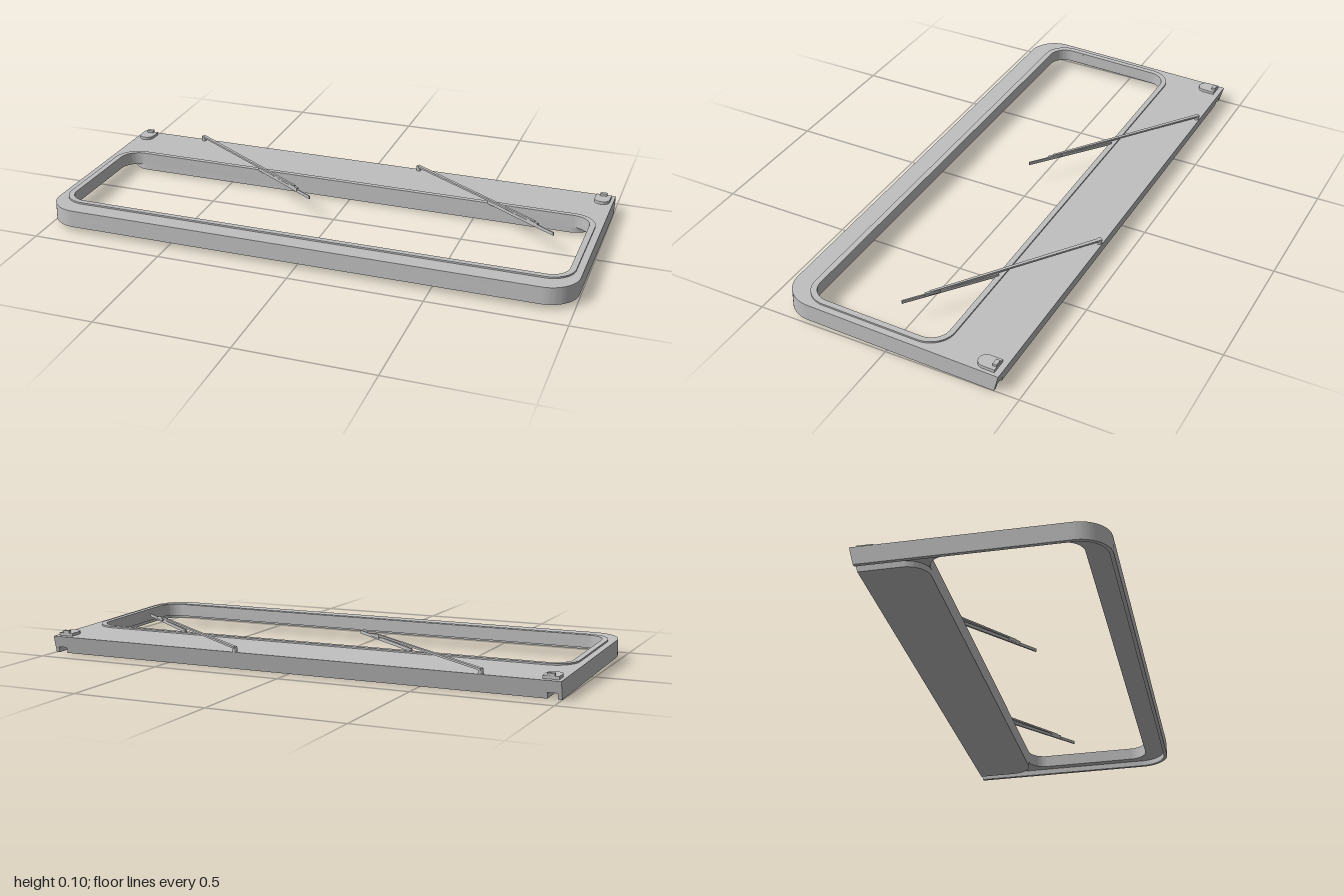
import * as THREE from 'three';
import { toCreasedNormals } from 'three/addons/utils/BufferGeometryUtils.js';

const H = 0.065;       // full depth of the frame
const TILT = 0.024;    // slight forward rise
const grey = new THREE.MeshStandardMaterial({ color: 0xc0c0c0 });
grey.name = 'grey';

// Rectangle in x/z with separate corner radii at the back and front
function outline(Target, x, zBack, zFront, rBack, rFront) {
  const s = new Target();
  const corner = (cx, cz, r, a) => (r > 0
    ? s.absarc(cx, cz, r, a, a + Math.PI / 2, false)
    : s.lineTo(cx, cz));
  s.moveTo(-x + rBack, zBack);
  corner(x - rBack, zBack + rBack, rBack, -Math.PI / 2);
  corner(x - rFront, zFront - rFront, rFront, 0);
  corner(-x + rFront, zFront - rFront, rFront, Math.PI / 2);
  corner(-x + rBack, zBack + rBack, rBack, Math.PI);
  s.closePath();
  return s;
}

// Extrudes an x/z shape from y0 up to y1; the rear face leans in at the bottom
function slab(name, shape, y0, y1) {
  const g = new THREE.ExtrudeGeometry(shape, { depth: y1 - y0, bevelEnabled: false, curveSegments: 12 });
  g.rotateX(Math.PI / 2).translate(0, y1, 0);
  const p = g.attributes.position;
  for (let i = 0; i < p.count; i++) {
    if (p.getZ(i) < -0.415) p.setZ(i, p.getZ(i) + 0.015 * (1 - p.getY(i) / H));
  }
  g.computeVertexNormals();
  const m = new THREE.Mesh(toCreasedNormals(g, 0.6), grey);
  m.name = name;
  return m;
}

function box(name, w, h, d, x, y, z) {
  const m = new THREE.Mesh(new THREE.BoxGeometry(w, h, d), grey);
  m.name = name;
  m.position.set(x, y, z);
  return m;
}

// Thin bar between two points, tapered towards the far end
function bar(name, a, b, w, h, taper) {
  const from = new THREE.Vector3(...a), to = new THREE.Vector3(...b);
  const g = new THREE.BoxGeometry(w, h, from.distanceTo(to));
  const p = g.attributes.position;
  for (let i = 0; i < p.count; i++) if (p.getZ(i) > 0) p.setX(i, p.getX(i) * taper);
  const m = new THREE.Mesh(g, grey);
  m.name = name;
  m.position.copy(from).add(to).multiplyScalar(0.5);
  m.lookAt(to);
  return m;
}

function wiper(x) {
  const w = new THREE.Group();
  w.name = 'wiper';
  const pivot = new THREE.Mesh(new THREE.CylinderGeometry(0.009, 0.009, 0.022, 16), grey);
  pivot.name = 'wiperPivot';
  pivot.position.set(-0.72, 0.073, -0.412);
  w.add(
    pivot,
    bar('wiperArm', [-0.725, 0.081, -0.417], [-0.17, 0.089, -0.035], 0.014, 0.007, 0.6),
    bar('wiperBlade', [-0.38, 0.073, -0.185], [-0.088, 0.08, 0.027], 0.007, 0.012, 0.7),
    bar('bladeClip', [-0.2, 0.083, -0.057], [-0.155, 0.084, -0.023], 0.011, 0.011, 0.8)
  );
  w.position.x = x;
  return w;
}

export function createModel() {
  const model = new THREE.Group();
  model.name = 'windowFrame';
  const frame = new THREE.Group();
  frame.name = 'tiltedFrame';
  frame.rotation.x = -TILT;
  frame.position.y = 0.01;
  model.add(frame);

  // Top plate with the large window opening
  const plate = outline(THREE.Shape, 1, -0.423, 0.422, 0, 0.115);
  plate.holes.push(outline(THREE.Path, 0.953, -0.18, 0.33, 0.07, 0.07));
  frame.add(slab('topPlate', plate, 0.022, H));

  // Thin skirt around the sides and front, open at the back
  const skirt = new THREE.Shape();
  skirt.moveTo(-1, -0.423);
  skirt.lineTo(-0.986, -0.423);
  skirt.absarc(-0.885, 0.307, 0.101, Math.PI, Math.PI / 2, true);
  skirt.absarc(0.885, 0.307, 0.101, Math.PI / 2, 0, true);
  skirt.lineTo(0.986, -0.423);
  skirt.lineTo(1, -0.423);
  skirt.absarc(0.885, 0.307, 0.115, 0, Math.PI / 2, false);
  skirt.absarc(-0.885, 0.307, 0.115, Math.PI / 2, Math.PI, false);
  skirt.closePath();
  frame.add(slab('skirt', skirt, 0, 0.022));

  // Deeper rear body with rounded inner corners
  frame.add(slab('rearBody', outline(THREE.Shape, 0.95, -0.423, -0.18, 0, 0.08), 0, 0.022));

  // Raised rim around the opening
  const rim = outline(THREE.Shape, 0.975, -0.2, 0.352, 0.092, 0.092);
  rim.holes.push(outline(THREE.Path, 0.953, -0.18, 0.33, 0.07, 0.07));
  frame.add(slab('openingRim', rim, H, H + 0.006));

  // Shield-shaped corner brackets with a small catch
  for (const side of [-1, 1]) {
    const bracket = new THREE.Group();
    bracket.name = 'cornerBracket';
    bracket.add(
      slab('bracketPlate', outline(THREE.Shape, 0.029, -0.402, -0.33, 0, 0.028), H, H + 0.011),
      box('bracketCatch', 0.026, 0.02, 0.015, 0, H + 0.01, -0.394)
    );
    bracket.position.x = side * 0.958;
    frame.add(bracket);
  }

  // Two parallel wipers
  frame.add(wiper(0), wiper(0.935));
  return model;
}
